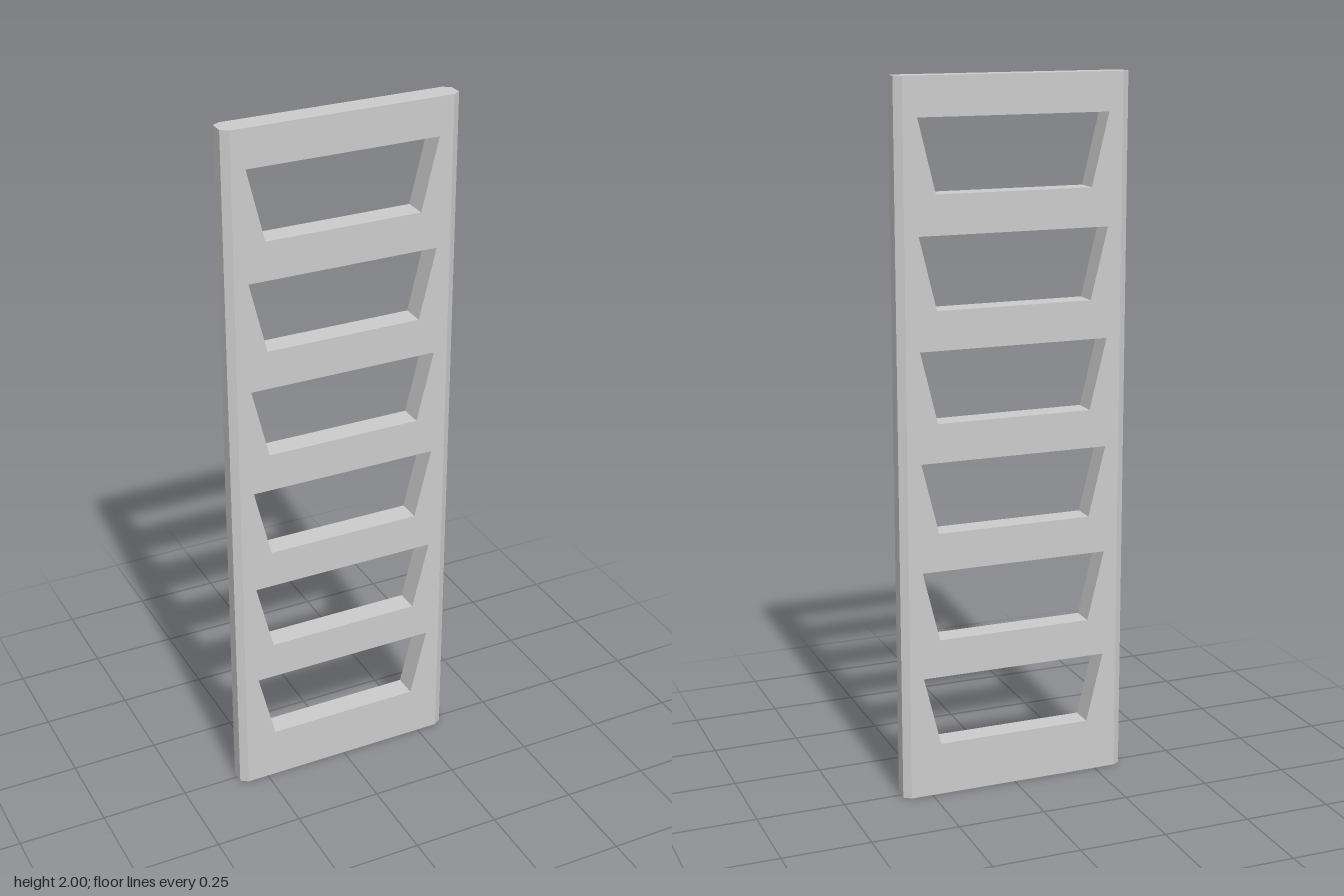
import * as THREE from 'three';

const HEIGHT = 2, HALF_W = 0.333, HALF_D = 0.0333;
const FLAT_X = 0.312, EDGE_Z = 0.0195; // where the edge chamfers begin and end
const SLOTS = 6, PITCH = 0.3084, FIRST_SLOT = 0.1515, SLOT_H = 0.2;

const polygon = (Type, points) => new Type(points.map(([x, y]) => new THREE.Vector2(x, y)));

// Drops the hidden walls where the panel and the side edges meet
function openSeams(geometry) {
  const p = geometry.attributes.position;
  const kept = [];
  for (let i = 0; i < p.count; i += 3) {
    const corners = [i, i + 1, i + 2];
    const onSeam = [-FLAT_X, FLAT_X].some((x) => corners.every((c) => Math.abs(p.getX(c) - x) < 1e-4));
    if (!onSeam) kept.push(...corners);
  }
  geometry.clearGroups();
  geometry.setIndex(kept);
  return geometry;
}

export function createModel() {
  const model = new THREE.Group();
  model.name = 'slottedPanel';
  const material = new THREE.MeshStandardMaterial({ color: 0xcccccc, flatShading: true });
  const add = (name, geometry) => {
    const mesh = new THREE.Mesh(openSeams(geometry), material);
    mesh.name = name;
    model.add(mesh);
  };

  // Flat panel with a column of tapered slots
  const face = polygon(THREE.Shape, [[-FLAT_X, 0], [FLAT_X, 0], [FLAT_X, HEIGHT], [-FLAT_X, HEIGHT]]);
  for (let i = 0; i < SLOTS; i++) {
    const y0 = FIRST_SLOT + i * PITCH, y1 = y0 + SLOT_H;
    face.holes.push(polygon(THREE.Path, [[-0.223, y0], [-0.272, y1], [0.272, y1], [0.223, y0]]));
  }
  const panel = new THREE.ExtrudeGeometry(face, { depth: 2 * HALF_D, bevelEnabled: false });
  panel.translate(0, 0, -HALF_D);
  add('panel', panel);

  // Chamfered long edges, extruded upward from their cross-section
  for (const [name, side] of [['leftEdge', 1], ['rightEdge', -1]]) {
    const section = polygon(THREE.Shape, [
      [side * FLAT_X, -HALF_D], [side * HALF_W, -EDGE_Z], [side * HALF_W, EDGE_Z], [side * FLAT_X, HALF_D],
    ]);
    const edge = new THREE.ExtrudeGeometry(section, { depth: HEIGHT, bevelEnabled: false });
    edge.rotateX(-Math.PI / 2);
    add(name, edge);
  }
  return model;
}
